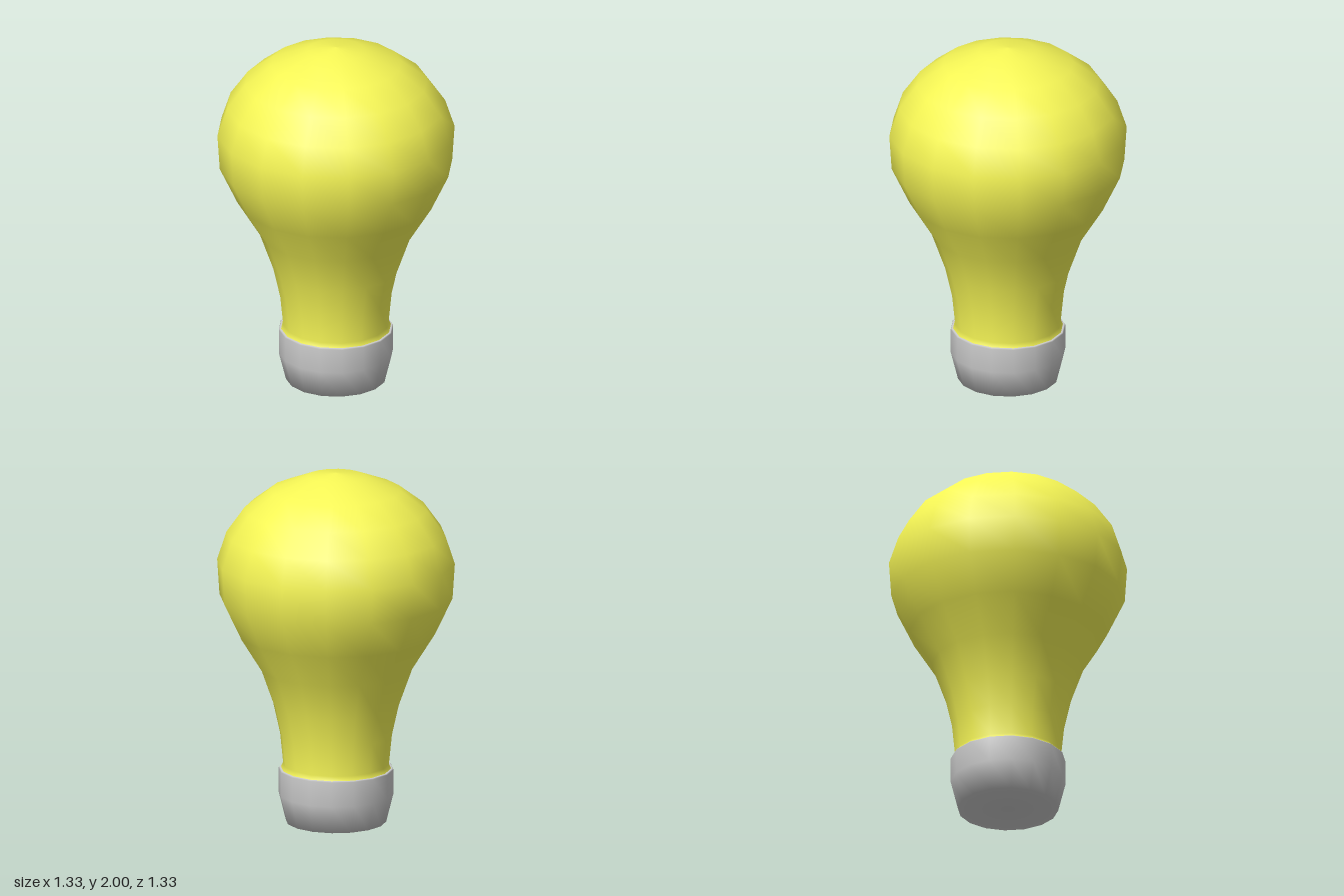
import * as THREE from 'three';

const SIDES = 16;

// Smooth-shaded surface of revolution from [radius, height] pairs, bottom to top
function lathe(name, profile, material) {
  const points = profile.map(([r, y]) => new THREE.Vector2(r, y));
  const mesh = new THREE.Mesh(new THREE.LatheGeometry(points, SIDES), material);
  mesh.name = name;
  return mesh;
}

export function createModel() {
  const group = new THREE.Group();
  group.name = 'lightBulb';
  const glass = new THREE.MeshStandardMaterial({ color: 0xf5f555 });
  const metal = new THREE.MeshStandardMaterial({ color: 0xcccccc });

  // Pear-shaped glass, flaring slightly where it meets the socket
  group.add(lathe('glassBulb', [
    [0.31, 0.3], [0.295, 0.33], [0.312, 0.5], [0.35, 0.67], [0.425, 0.88],
    [0.55, 1.08], [0.65, 1.29], [0.663, 1.49], [0.61, 1.65], [0.51, 1.79],
    [0.365, 1.9], [0.16, 1.98], [0, 2],
  ], glass));

  // Metal socket: flat underside, tapered foot, straight wall, rolled rim
  group.add(lathe('socket', [
    [0.022, 0], [0.28, 0], [0.32, 0.16], [0.32, 0.3], [0.315, 0.306], [0.28, 0.306],
  ], metal));

  // Small contact closing the middle of the underside
  const contact = new THREE.Mesh(new THREE.CircleGeometry(0.022, SIDES), metal);
  contact.rotation.x = Math.PI / 2;
  contact.name = 'contact';
  group.add(contact);

  return group;
}
